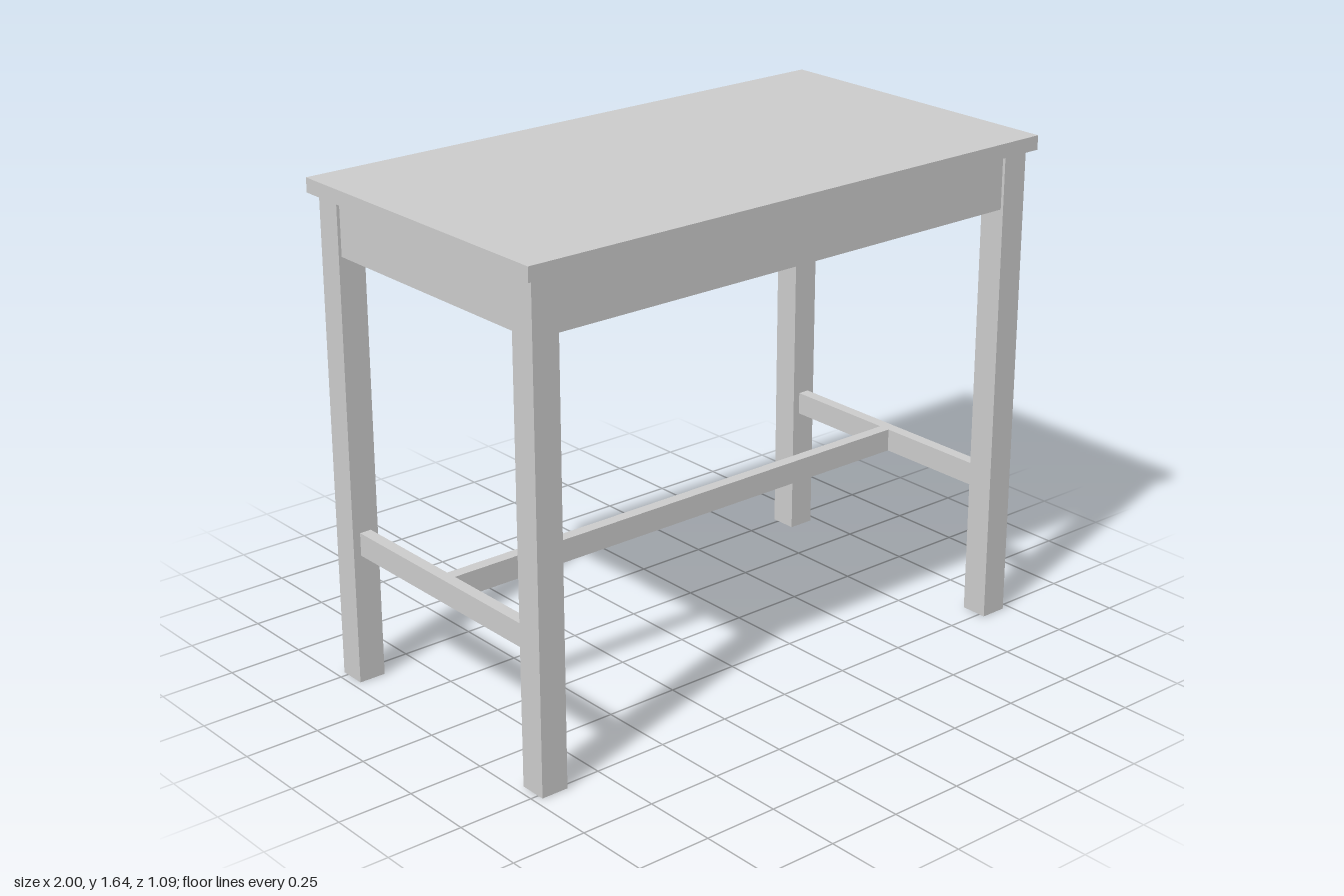
import * as THREE from 'three';

const material = new THREE.MeshStandardMaterial({ color: 0xcccccc });

// Box given by its size, centre x/z and bottom height
function addBox(parent, name, [w, h, d], [x, bottom, z]) {
  const mesh = new THREE.Mesh(new THREE.BoxGeometry(w, h, d), material);
  mesh.name = name;
  mesh.position.set(x, bottom + h / 2, z);
  parent.add(mesh);
}

export function createModel() {
  const table = new THREE.Group();
  table.name = 'table';

  const topBottom = 1.598, topThickness = 0.047;
  const leg = 0.092, legX = 0.927, legZ = 0.475;
  const apronHeight = 0.18, apronInset = 0.01;
  const stretcherY = 0.435, stretcherHeight = 0.077, stretcherWidth = 0.04;

  addBox(table, 'tabletop', [2, topThickness, 1.09], [0, topBottom, 0]);

  // Closed apron box, set slightly back from the outer leg faces
  addBox(table, 'apron',
    [2 * legX + leg - 2 * apronInset, apronHeight, 2 * legZ + leg - 2 * apronInset],
    [0, topBottom - apronHeight, 0]);

  for (const sx of [-1, 1]) {
    const side = sx > 0 ? 'left' : 'right';
    for (const sz of [-1, 1]) {
      addBox(table, `${side}${sz > 0 ? 'Front' : 'Back'}Leg`,
        [leg, topBottom, leg], [sx * legX, 0, sz * legZ]);
    }
    // Side stretcher between front and back legs
    addBox(table, `${side}Stretcher`,
      [stretcherWidth, stretcherHeight, 2 * legZ - leg], [sx * legX, stretcherY, 0]);
  }

  // Long stretcher joining the two side stretchers
  addBox(table, 'middleStretcher',
    [2 * legX - stretcherWidth, stretcherHeight, stretcherWidth], [0, stretcherY, 0]);

  return table;
}
